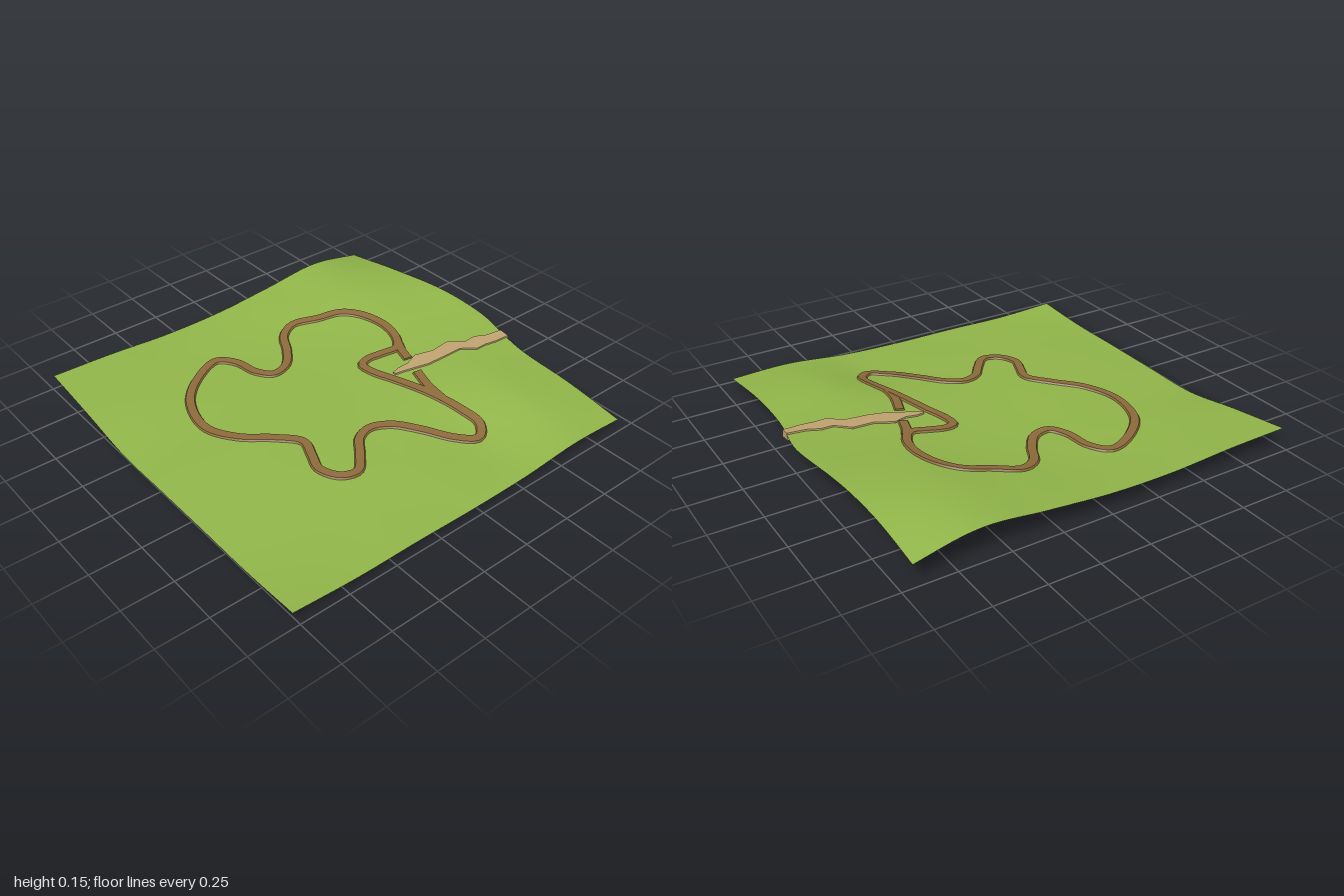
import * as THREE from 'three';

const mat = (name, color, side = THREE.FrontSide) => {
  const m = new THREE.MeshStandardMaterial({ color, side });
  m.name = name;
  return m;
};

// Ground heights on a coarse grid: rows run back to front, columns -x to +x
const H = [
  [0.105, 0.097, 0.08, 0.085, 0.115, 0.147, 0.092],
  [0.06, 0.055, 0.05, 0.065, 0.105, 0.15, 0.142],
  [0.01, 0.03, 0.05, 0.065, 0.09, 0.13, 0.16],
  [0.01, 0.035, 0.055, 0.065, 0.085, 0.112, 0.135],
  [0.012, 0.035, 0.05, 0.06, 0.083, 0.114, 0.102],
  [0.012, 0.025, 0.035, 0.043, 0.042, 0.098, 0.084],
  [0.028, 0.012, 0.015, 0.013, 0.022, 0.05, 0.04],
];

// Smooth cubic interpolation through a row of values
function cubic(a, t) {
  const n = a.length - 1;
  t = THREE.MathUtils.clamp(t, 0, n);
  const i = Math.min(Math.floor(t), n - 1), f = t - i;
  const p1 = a[i], p2 = a[i + 1];
  const p0 = i > 0 ? a[i - 1] : 2 * p1 - p2;
  const p3 = i + 2 <= n ? a[i + 2] : 2 * p2 - p1;
  return p1 + 0.5 * f * (p2 - p0 + f * (2 * p0 - 5 * p1 + 4 * p2 - p3 + f * (3 * (p1 - p2) + p3 - p0)));
}

const groundHeight = (x, z) =>
  cubic(H.map((row) => cubic(row, ((x + 1) / 1.96) * 6)), ((z + 0.965) / 1.925) * 6);

// The +x edge bulges outward near the middle
const sideEdge = (z) => 0.935 + 0.063 * Math.exp(-(((z + 0.04) / (z > -0.04 ? 0.26 : 0.45)) ** 2));

function terrainGeometry() {
  const geo = new THREE.PlaneGeometry(1, 1, 120, 120).rotateX(-Math.PI / 2);
  const p = geo.attributes.position;
  for (let i = 0; i < p.count; i++) {
    const u = p.getX(i) + 0.5, v = p.getZ(i) + 0.5;
    const z = THREE.MathUtils.lerp(-0.965 - 0.01 * u ** 6, 0.952 + 0.015 * u, v);
    const x = -1 + u * (sideEdge(z) + 1);
    p.setXYZ(i, x, groundHeight(x, z), z);
  }
  geo.computeVertexNormals();
  return geo;
}

// Strip that follows the ground; sections are [x, z, x, z] (left, right).
// The foot is wider than the top by the flare on each side.
function stripGeometry(sections, { lift, drop, flare, sides, capped }) {
  const pos = [], idx = [];
  const rings = sections.map(([lx, lz, rx, rz]) => {
    const l = groundHeight(lx, lz), r = groundHeight(rx, rz);
    const s = flare / Math.hypot(rx - lx, rz - lz);
    const ox = (rx - lx) * s, oz = (rz - lz) * s;
    return [
      [lx + ox, l + lift, lz + oz], [rx - ox, r + lift, rz - oz],
      [rx, r - drop, rz], [lx, l - drop, lz],
    ];
  });
  for (const k of sides) {
    const base = pos.length / 3;
    rings.forEach((ring) => pos.push(...ring[k], ...ring[(k + 1) % 4]));
    for (let i = 0; i < rings.length - 1; i++) {
      const a = base + 2 * i;
      idx.push(a, a + 1, a + 2, a + 1, a + 3, a + 2);
    }
  }
  if (capped) {
    [rings[0], rings[rings.length - 1]].forEach((ring, end) => {
      const b = pos.length / 3;
      ring.forEach((q) => pos.push(...q));
      idx.push(...(end ? [b, b + 1, b + 2, b, b + 2, b + 3] : [b, b + 2, b + 1, b, b + 3, b + 2]));
    });
  }
  const geo = new THREE.BufferGeometry();
  geo.setAttribute('position', new THREE.Float32BufferAttribute(pos, 3));
  geo.setIndex(idx);
  geo.computeVertexNormals();
  return geo;
}

// Path of constant width along a smooth curve through [x, z] points: top and two banks
function pathGeometry(points, closed, steps, half = 0.026) {
  const curve = new THREE.CatmullRomCurve3(points.map(([x, z]) => new THREE.Vector3(x, 0, z)), closed, 'centripetal');
  const sections = [];
  for (let i = 0; i <= steps; i++) {
    const c = curve.getPointAt(i / steps), t = curve.getTangentAt(i / steps);
    const nx = t.z * half, nz = -t.x * half;
    sections.push([c.x + nx, c.z + nz, c.x - nx, c.z - nz]);
  }
  return stripGeometry(sections, { lift: 0.009, drop: 0.001, flare: 0.006, sides: [0, 1, 3], capped: !closed });
}

const LOOP = [
  [-0.27, -0.63], [-0.42, -0.57], [-0.56, -0.43], [-0.61, -0.22], [-0.54, -0.06], [-0.42, 0.06],
  [-0.335, 0.17], [-0.365, 0.27], [-0.395, 0.36], [-0.35, 0.455], [-0.27, 0.48], [-0.19, 0.4],
  [-0.12, 0.315], [-0.04, 0.29], [0.05, 0.335], [0.14, 0.45], [0.23, 0.58], [0.32, 0.65],
  [0.385, 0.59], [0.38, 0.47], [0.345, 0.3], [0.29, 0.1], [0.25, -0.03], [0.25, -0.1],
  [0.3, -0.12], [0.38, -0.105], [0.47, -0.09], [0.525, -0.16], [0.545, -0.28], [0.51, -0.42],
  [0.44, -0.51], [0.33, -0.555], [0.2, -0.61], [0.11, -0.565], [0.05, -0.46], [-0.03, -0.365],
  [-0.12, -0.345], [-0.175, -0.42], [-0.2, -0.55],
];
const SPURS = {
  backSpur: [[0.5, -0.11], [0.475, -0.06], [0.45, 0.02]],
  frontSpur: [[0.36, 0.37], [0.373, 0.25], [0.41, 0.13]],
};

// Rocky bed: x, back z, front z
const BED = [
  [0.32, 0.05, 0.075], [0.36, 0.04, 0.085], [0.42, 0.045, 0.105], [0.49, 0.02, 0.13], [0.58, 0.055, 0.14],
  [0.69, 0.05, 0.145], [0.76, 0.11, 0.2], [0.82, 0.108, 0.2], [0.88, 0.138, 0.21], [0.97, 0.152, 0.213],
];

export function createModel() {
  const group = new THREE.Group();
  const grass = mat('grass green', 0x91b549, THREE.DoubleSide);
  const dirt = mat('dirt brown', 0x8c6a3b);
  const rock = mat('rock tan', 0xbfa270);
  const add = (name, geo, material) => {
    const mesh = new THREE.Mesh(geo, material);
    mesh.name = name;
    group.add(mesh);
  };

  add('terrain', terrainGeometry(), grass);
  add('trackLoop', pathGeometry(LOOP, true, 260), dirt);
  for (const name in SPURS) add(name, pathGeometry(SPURS[name], false, 12), dirt);

  // Faceted bed, laid through the ground and out past its edge
  const bed = stripGeometry(
    BED.map(([x, b, f]) => [x, b, x, f]),
    { lift: 0.008, drop: 0.03, flare: 0.004, sides: [0, 1, 2, 3], capped: true },
  ).toNonIndexed();
  bed.computeVertexNormals();
  add('ravineBed', bed, rock);
  return group;
}
